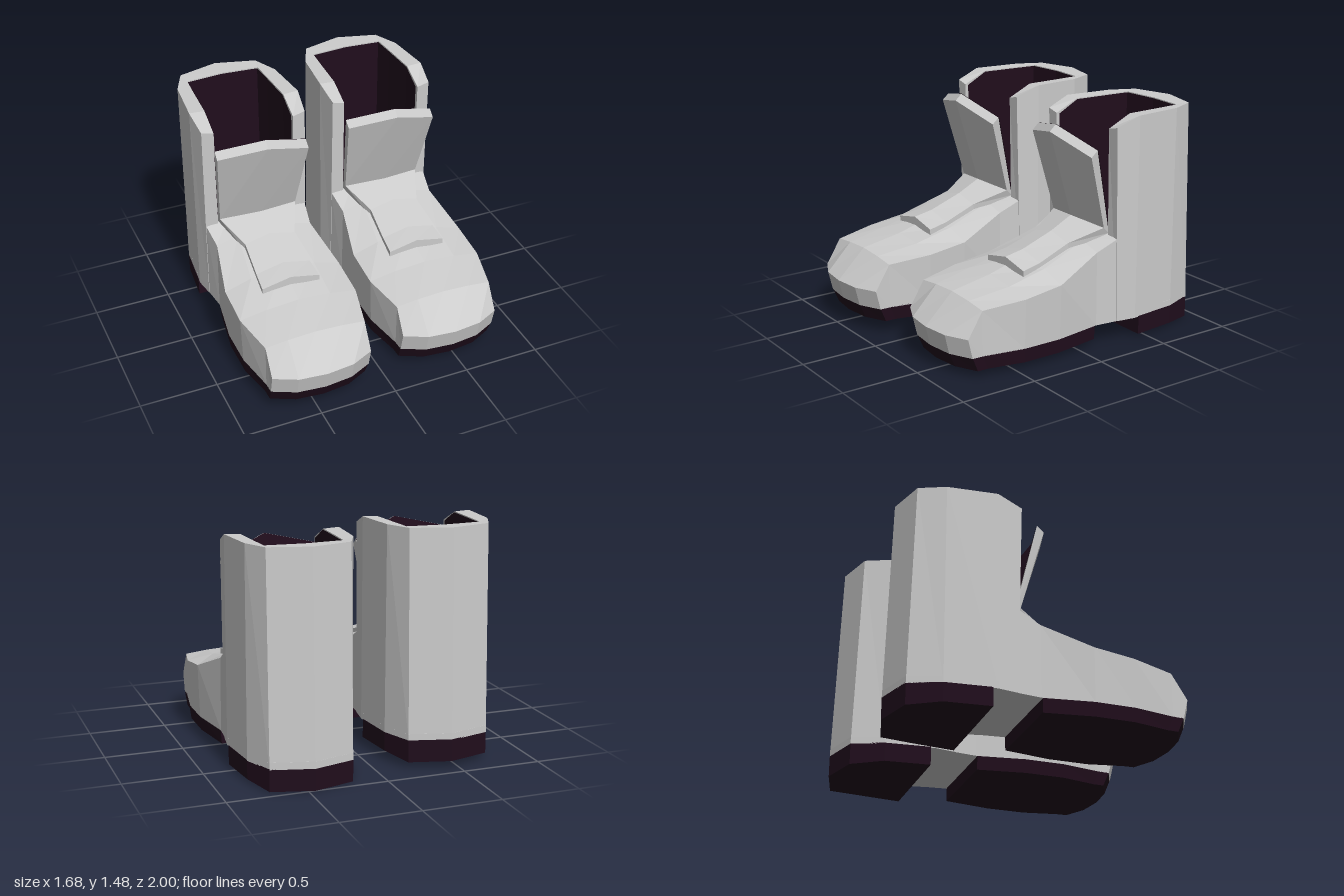
import * as THREE from 'three';

const grey = new THREE.MeshStandardMaterial({ color: 0xcccccc, flatShading: true });
const dark = new THREE.MeshStandardMaterial({ color: 0x200d1c, flatShading: true });
const darkThin = new THREE.MeshStandardMaterial({ color: 0x200d1c, flatShading: true, side: THREE.DoubleSide });

// Skins a row of closed loops of [x, y, z] points; ends are bridged across, left to right
function loft(loops, { caps = [true, true], closed = true } = {}) {
  const tris = [];
  const quad = (a, b, c, d) => tris.push(a, b, c, a, c, d);
  const n = loops[0].length;
  for (let s = 0; s < loops.length - 1; s++) {
    for (let i = 0; i < (closed ? n : n - 1); i++) {
      const j = (i + 1) % n;
      quad(loops[s][i], loops[s][j], loops[s + 1][j], loops[s + 1][i]);
    }
  }
  const cap = (p, flip) => {
    for (let i = 0; i < Math.floor(n / 2); i++) {
      const k = n - 1 - i;
      if (k - i < 2) break;
      if (flip) quad(p[i], p[k], p[k - 1], p[i + 1]);
      else quad(p[i], p[i + 1], p[k - 1], p[k]);
    }
  };
  if (caps[0]) cap(loops[0], true);
  if (caps[1]) cap(loops[loops.length - 1], false);

  // Turn the skin outward if its enclosed volume comes out negative
  const v = tris.map((p) => new THREE.Vector3(...p));
  let volume = 0;
  for (let i = 0; i < v.length; i += 3) volume += v[i].dot(v[i + 1].clone().cross(v[i + 2]));
  if (volume < 0) for (let i = 0; i < v.length; i += 3) [v[i + 1], v[i + 2]] = [v[i + 2], v[i + 1]];
  const geometry = new THREE.BufferGeometry().setFromPoints(v);
  geometry.computeVertexNormals();
  return geometry;
}

// Completes a left half (ending on the centre line) with its mirror image
const mirror = (half) => [...half, ...half.slice(0, -1).reverse().map(([x, ...rest]) => [-x, ...rest])];

function part(name, geometry, material) {
  const mesh = new THREE.Mesh(geometry, material);
  mesh.name = name;
  return mesh;
}

// Plan outlines as [x, z]
const shaftOuter = mirror([[-0.345, -0.28], [-0.365, -0.41], [-0.335, -0.73], [-0.26, -0.93], [0, -1]]);
const shaftInner = mirror([[-0.262, -0.27], [-0.262, -0.41], [-0.25, -0.65], [-0.24, -0.81], [0, -0.83]]);
const heelPlan = mirror([[-0.365, -0.44], [-0.335, -0.73], [-0.26, -0.93], [0, -1]]);
const solePlan = mirror([[-0.325, -0.12], [-0.375, 0.19], [-0.375, 0.45], [-0.327, 0.72], [-0.325, 0.79],
  [-0.18, 0.86], [0, 0.88]]);

function footGeometry() {
  // Each loop: five points over the top, five back along the bottom
  const loop = (wb, w, ys, yc, z) => {
    const yq = ys + (yc - ys) * 0.65;
    return [
      ...mirror([[-w, ys, z], [-w * 0.55, yq, z], [0, yc, z]]),
      ...mirror([[wb, 0.135, z], [wb * 0.55, 0.135, z], [0, 0.135, z]]),
    ];
  };
  const toe = [
    ...mirror([[-0.325, 0.26, 0.82], [-0.18, 0.26, 0.89], [0, 0.26, 0.91]]),
    ...mirror([[0.325, 0.135, 0.79], [0.18, 0.135, 0.86], [0, 0.135, 0.88]]),
  ];
  return loft([
    toe,
    loop(0.327, 0.325, 0.42, 0.445, 0.72),
    loop(0.375, 0.385, 0.45, 0.495, 0.45),
    loop(0.375, 0.385, 0.485, 0.57, 0.19),
    loop(0.325, 0.32, 0.61, 0.67, -0.13),
    loop(0.342, 0.342, 0.68, 0.72, -0.28),
  ]);
}

function shaftGeometry() {
  // Wall section carried round the horseshoe plan, leaning in a little at the back
  return loft(shaftOuter.map(([x, z], i) => {
    const [ix, iz] = shaftInner[i];
    const end = i === 0 || i === shaftOuter.length - 1;
    const lean = end ? 0.03 : z < -0.9 ? 0.035 : 0;
    return [
      [x, 0.135, z],
      [x * 0.99, end ? 1.38 : 1.44, z + lean],
      [ix, end ? 1.36 : 1.435, iz + (end ? 0.02 : 0)],
      [ix, 0.135, iz],
    ];
  }));
}

function liningGeometry() {
  // Inner wall, low front panel and floor
  const ring = (y, yEnd, yFront) => [
    ...shaftInner.map(([x, z], i) => [x * 0.985, i === 0 || i === 8 ? yEnd : y, z + (z < -0.8 ? 0.004 : 0)]),
    [0.257, yFront, -0.287], [-0.257, yFront, -0.287],
  ];
  const centre = ring(0.2, 0.2, 0.2).map(() => [0, 0.2, -0.5]);
  return loft([centre, ring(0.2, 0.2, 0.2), ring(1.43, 1.355, 0.7)], { caps: [false, false] });
}

// Tongue stations: half width, left y, centre y, right y, side z, centre z, then thickness in y and z
const tongueStations = [
  [0.19, 0.545, 0.585, 0.545, 0.33, 0.33, -0.055, 0],
  [0.18, 0.57, 0.61, 0.57, 0.2, 0.2, -0.055, 0],
  [0.168, 0.65, 0.69, 0.65, -0.02, -0.02, -0.055, -0.01],
  [0.258, 0.735, 0.765, 0.735, -0.23, -0.17, -0.04, -0.04],
  [0.3, 1.265, 1.325, 1.21, -0.09, 0, 0.04, -0.045],
];
const tongueFront = ([w, yl, yc, yr, zs, zc]) => [[-w, yl, zs], [0, yc, zc], [w, yr, zs]];
const tongueBack = (s, extra = 0) =>
  tongueFront(s).map(([x, y, z]) => [x, y + s[6], z + s[7] - extra]);

function createBoot() {
  const boot = new THREE.Group();
  const slab = (plan, top, bottom) =>
    loft([plan.map(([x, z]) => [x, top, z]), plan.map(([x, z]) => bottom(x, z))]);

  boot.add(
    part('foot', footGeometry(), grey),
    part('shaft', shaftGeometry(), grey),
    part('shaftBase', slab(shaftOuter, 0.18, (x, z) => [x, 0.135, z]), grey),
    part('lining', liningGeometry(), darkThin),
    part('tongue', loft(tongueStations.map((s) => [...tongueFront(s), ...tongueBack(s).reverse()])), grey),
    part('tongueLining', loft(tongueStations.slice(3).map((s) => tongueBack(s, 0.005)),
      { caps: [false, false], closed: false }), darkThin),
    // Sole pieces taper slightly towards the ground
    part('frontSole', slab(solePlan, 0.14, (x, z) => [x * 0.98, 0.045, z > 0.7 ? z - 0.04 : z]), dark),
    part('heel', slab(heelPlan, 0.14, (x, z) => [x, z < -0.9 ? 0 : 0.02, z]), dark),
  );
  return boot;
}

export function createModel() {
  const model = new THREE.Group();
  model.name = 'boots';
  const left = createBoot();
  left.name = 'leftBoot';
  left.position.set(0.457, 0, 0);
  // The right boot stands slightly higher and further forward
  const right = createBoot();
  right.name = 'rightBoot';
  right.position.set(-0.457, 0.04, 0.09);
  model.add(left, right);
  return model;
}
